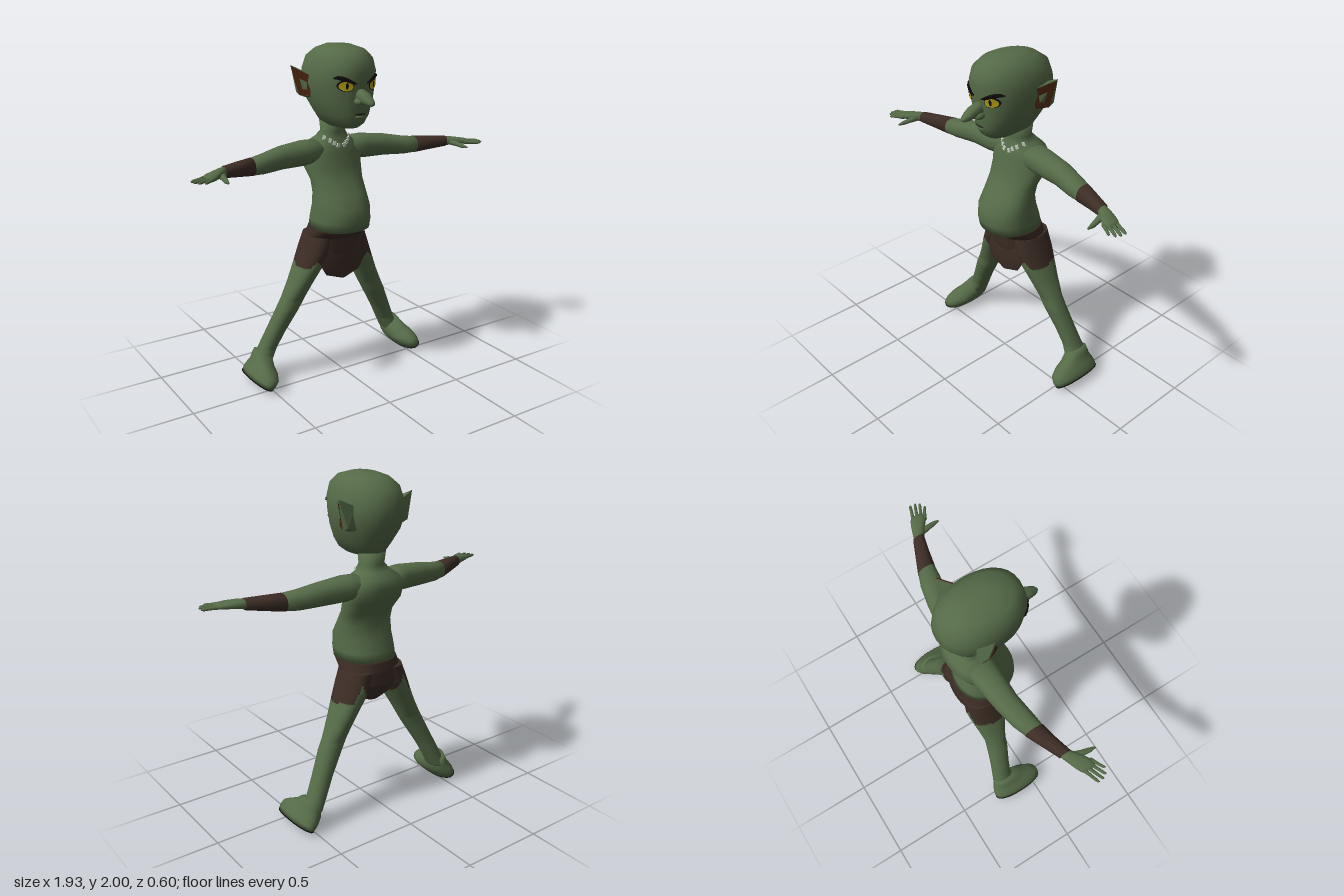
import * as THREE from 'three';
import { mergeVertices } from 'three/addons/utils/BufferGeometryUtils.js';
import { ConvexGeometry } from 'three/addons/geometries/ConvexGeometry.js';

const POWER = 0.9; // slightly boxy ellipses for all cross-sections
const AXES = { x: [1, 0, 0], y: [0, 1, 0], z: [0, 0, 1] };
const vec = (a) => new THREE.Vector3(...a);
const bow = (t) => Math.sign(t) * Math.abs(t) ** POWER;

// Skin a list of rings [x, y, z, radiusU, radiusV] and close both ends
function loft(rings, u, v, n = 20) {
  const U = vec(AXES[u]), V = vec(AXES[v]), pos = [], idx = [];
  const along = vec(rings.at(-1).slice(0, 3)).sub(vec(rings[0].slice(0, 3)));
  const flip = U.clone().cross(V).dot(along) < 0;
  const tri = (a, b, c) => (flip ? idx.push(a, c, b) : idx.push(a, b, c));
  for (const r of rings) {
    for (let j = 0; j < n; j++) {
      const t = (j / n) * Math.PI * 2;
      const p = vec(r.slice(0, 3)).addScaledVector(U, r[3] * bow(Math.cos(t))).addScaledVector(V, r[4] * bow(Math.sin(t)));
      pos.push(p.x, p.y, p.z);
    }
  }
  for (let i = 0; i < rings.length - 1; i++) {
    for (let j = 0; j < n; j++) {
      const a = i * n + j, b = i * n + ((j + 1) % n);
      tri(a, b, b + n);
      tri(a, b + n, a + n);
    }
  }
  const last = (rings.length - 1) * n, c0 = rings.length * n;
  pos.push(...rings[0].slice(0, 3), ...rings.at(-1).slice(0, 3));
  for (let j = 0; j < n; j++) {
    tri(c0, (j + 1) % n, j);
    tri(c0 + 1, last + j, last + ((j + 1) % n));
  }
  const g = new THREE.BufferGeometry();
  g.setAttribute('position', new THREE.Float32BufferAttribute(pos, 3));
  g.setIndex(idx);
  g.computeVertexNormals();
  return g;
}

// Upright rings from [y, front z, back z, half width, centre x]
const upright = (rows) => rows.map(([y, f, b, w, x = 0]) => [x, y, (f + b) / 2, w, (f - b) / 2]);
const mix = (a, b, t) => a.map((q, k) => q + (b[k] - q) * t);
const refine = (rings, k) => rings.flatMap((r, i) =>
  i === rings.length - 1 ? [r] : Array.from({ length: k }, (_, j) => mix(r, rings[i + 1], j / k)));

// Front surface z of upright rings at (x, y)
function surfaceZ(rings, x, y) {
  const i = rings.findIndex((r, k) => k < rings.length - 1 && (r[1] - y) * (rings[k + 1][1] - y) <= 0);
  const a = rings[i], b = rings[i + 1], r = mix(a, b, (y - a[1]) / (b[1] - a[1]));
  const c = Math.min(1, Math.abs(x) / r[3]) ** (1 / POWER);
  return r[2] + r[4] * Math.sqrt(1 - c * c) ** POWER;
}

// Sort triangles into two material groups by the position of their centre
function split(g, isFirst) {
  const p = g.attributes.position, ix = g.index.array, out = [[], []];
  for (let i = 0; i < ix.length; i += 3) {
    const t = [ix[i], ix[i + 1], ix[i + 2]];
    const mid = (get) => t.reduce((s, k) => s + p[get](k), 0) / 3;
    out[isFirst(mid('getX'), mid('getY'), mid('getZ')) ? 0 : 1].push(...t);
  }
  g.setIndex([...out[0], ...out[1]]);
  g.addGroup(0, out[0].length, 0);
  g.addGroup(out[0].length, out[1].length, 1);
  return g;
}

function mirrored(g) {
  const m = g.clone().scale(-1, 1, 1), ix = m.index.array;
  for (let i = 0; i < ix.length; i += 3) [ix[i + 1], ix[i + 2]] = [ix[i + 2], ix[i + 1]];
  return m;
}

export function createModel() {
  const model = new THREE.Group();
  model.name = 'goblin';
  const material = (name, color) => Object.assign(new THREE.MeshStandardMaterial({ color }), { name });
  const skin = material('green skin', 0x556a47);
  const leather = material('brown leather', 0x3c2d25);
  const innerEar = material('inner ear', 0x4c2411);
  const yellow = material('eye yellow', 0xb5a012);
  const black = material('black', 0x0d0b0a);
  const bone = material('bone white', 0xc6d0c2);
  const lip = material('dark lips', 0x33332b);
  leather.side = innerEar.side = THREE.DoubleSide;

  const add = (name, g, m) => {
    const mesh = new THREE.Mesh(g, m);
    mesh.name = name;
    model.add(mesh);
  };
  const pair = (name, g, m) => {
    const whole = g.index ? g : mergeVertices(g);
    add('left' + name, whole, m);
    add('right' + name, mirrored(whole), m);
  };

  // Head
  const head = upright([
    [1.998, 0.05, -0.13, 0.06], [1.975, 0.135, -0.2, 0.12], [1.93, 0.185, -0.265, 0.163],
    [1.86, 0.2, -0.29, 0.183], [1.79, 0.19, -0.3, 0.186], [1.7, 0.182, -0.268, 0.168],
    [1.62, 0.178, -0.22, 0.13], [1.57, 0.155, -0.185, 0.1], [1.545, 0.12, -0.12, 0.065]]);
  add('head', loft(head, 'x', 'z', 28), skin);
  const faceZ = (x, y) => surfaceZ(head, x, y);

  // Nose with nostrils
  add('nose', loft([[0, 1.735, 0.15, 0.03, 0.045], [0, 1.73, 0.2, 0.035, 0.04], [0, 1.724, 0.24, 0.034, 0.033],
    [0, 1.713, 0.27, 0.028, 0.024], [0, 1.705, 0.292, 0.019, 0.016], [0, 1.702, 0.302, 0.007, 0.007]], 'x', 'y'), skin);
  pair('Nostril', new THREE.SphereGeometry(1, 12, 8).scale(0.02, 0.02, 0.032).translate(0.028, 1.705, 0.2), skin);

  // Eyes as thin discs wrapped on the face, and slanted brows
  const disc = (x, y, rx, ry, lift, tilt = 0) => {
    const g = new THREE.CircleGeometry(1, 20).scale(rx, ry, 1).rotateZ(tilt).translate(x, y, 0), p = g.attributes.position;
    for (let i = 0; i < p.count; i++) p.setZ(i, faceZ(p.getX(i), p.getY(i)) + lift);
    g.computeVertexNormals();
    return g;
  };
  pair('EyeRim', disc(0.088, 1.792, 0.041, 0.031, 0.005, 0.15), black);
  pair('Eye', disc(0.088, 1.79, 0.035, 0.026, 0.008, 0.15), yellow);
  pair('Pupil', disc(0.086, 1.792, 0.007, 0.018, 0.0105), black);
  pair('Brow', loft([[0.036, 1.803, 0.004], [0.055, 1.81, 0.01], [0.08, 1.822, 0.013], [0.105, 1.832, 0.013],
    [0.125, 1.836, 0.01], [0.14, 1.832, 0.003]].map(([x, y, r]) => [x, y, faceZ(x, y), r, 0.014]), 'y', 'z', 10), black);

  // Mouth
  add('mouth', disc(0, 1.632, 0.036, 0.008, 0.007), lip);
  add('lowerLip', new THREE.SphereGeometry(1, 14, 8).scale(0.032, 0.01, 0.014).translate(0, 1.616, 0.172), skin);

  // Pointed ears with coloured insides
  const earFront = [[0.168, 1.83, -0.055], [0.172, 1.715, -0.06], [0.205, 1.715, -0.135], [0.25, 1.885, -0.15]].map(vec);
  const earBack = [[0.15, 1.84, -0.17], [0.14, 1.69, -0.11], [0.205, 1.73, -0.17], [0.15, 1.71, -0.17]].map(vec);
  pair('Ear', new ConvexGeometry([...earFront, ...earBack]), skin);
  const middle = earFront.reduce((s, p) => s.add(p), vec([0, 0, 0])).divideScalar(4);
  const plate = new THREE.BufferGeometry().setFromPoints(
    earFront.map((p) => p.clone().lerp(middle, 0.04).add(vec([0.006, 0, 0.005]))));
  plate.setIndex([0, 1, 2, 0, 2, 3]);
  plate.computeVertexNormals();
  pair('InnerEar', plate, innerEar);

  // Neck, chest and pot belly
  const torso = upright([
    [1.57, -0.03, -0.19, 0.075], [1.5, -0.04, -0.175, 0.072], [1.465, -0.035, -0.205, 0.098],
    [1.43, -0.02, -0.24, 0.155], [1.38, -0.003, -0.26, 0.185], [1.3, 0.005, -0.235, 0.182],
    [1.22, 0.04, -0.175, 0.163], [1.15, 0.085, -0.16, 0.164], [1.07, 0.14, -0.18, 0.17],
    [0.99, 0.147, -0.208, 0.175], [0.935, 0.135, -0.22, 0.175]]);
  add('torso', loft(torso, 'x', 'z', 28), skin);

  // Bone necklace
  for (let i = 0; i < 4; i++) {
    const x = 0.02 + i * 0.021, y = 1.425 + i * 0.0145;
    const bead = new THREE.BoxGeometry(0.018, 0.024, 0.009).rotateZ(0.3).rotateY(i * 0.25);
    pair('NecklaceBone', bead.translate(x, y, surfaceZ(torso, x, y) + 0.005), bone);
  }

  // Ragged hem: leather above the cut, skin below it
  const isLeather = (x, y, z) => {
    const ax = Math.abs(x);
    if (z < -0.13) return y > 0.72 + 0.11 * Math.max(0, 1 - Math.abs(ax - 0.15) / 0.05);
    return y > 0.705 + (z > -0.06 ? 0.04 * Math.max(0, 1 - Math.abs(ax - 0.18) / 0.04) : 0);
  };
  const pelvis = upright([[0.94, 0.132, -0.221, 0.177], [0.88, 0.04, -0.233, 0.187], [0.8, 0.03, -0.235, 0.18],
    [0.73, 0.012, -0.2, 0.13], [0.68, -0.03, -0.15, 0.05]]);
  add('loincloth', split(loft(refine(pelvis, 8), 'x', 'z', 48), (x, y, z) => Math.abs(x) < 0.1 || isLeather(x, y, z)), [leather, skin]);

  // Hanging front flap
  const flap = loft([[0, 0.84, 0.02, 0.15, 0.004], [0, 0.75, 0.02, 0.17, 0.004], [0, 0.7, 0.018, 0.145, 0.004],
    [0, 0.65, 0.012, 0.115, 0.004], [0, 0.615, 0.006, 0.012, 0.004]], 'x', 'z', 24);
  const fp = flap.attributes.position;
  for (let i = 0; i < fp.count; i++) fp.setZ(i, fp.getZ(i) - fp.getX(i) ** 2 * 0.9);
  flap.computeVertexNormals();
  add('frontFlap', flap, leather);

  // Legs
  const leg = upright([
    [0.89, 0.02, -0.225, 0.085, 0.1], [0.78, 0.015, -0.232, 0.087, 0.138], [0.7, 0, -0.222, 0.078, 0.178],
    [0.6, -0.03, -0.205, 0.072, 0.229], [0.5, -0.06, -0.19, 0.072, 0.28], [0.44, -0.065, -0.195, 0.07, 0.312],
    [0.3, -0.095, -0.213, 0.06, 0.386], [0.2, -0.11, -0.23, 0.056, 0.435], [0.12, -0.1, -0.245, 0.055, 0.475]]);
  pair('Leg', split(loft(refine(leg, 10), 'x', 'z', 40), isLeather), [leather, skin]);

  // Feet, square to the splayed legs, with dark soles
  const place = (g) => g.rotateZ(0.49).translate(0.545, 0.031, 0);
  pair('Foot', place(loft(upright([
    [0.004, 0.057, -0.268, 0.058], [0.03, 0.064, -0.272, 0.068, -0.003], [0.065, 0.055, -0.265, 0.07, -0.01],
    [0.095, 0.01, -0.255, 0.066, -0.014], [0.12, -0.045, -0.25, 0.06, -0.008], [0.16, -0.095, -0.24, 0.052, -0.002]]), 'x', 'z', 24)), skin);
  pair('Sole', place(loft(upright([[0, 0.058, -0.27, 0.06], [0.006, 0.06, -0.272, 0.062]]), 'x', 'z', 24)), black);

  // Arms and bracers
  pair('Arm', loft([[0.09, 1.39, -0.12, 0.062, 0.09], [0.2, 1.385, -0.113, 0.073, 0.08], [0.35, 1.377, -0.103, 0.066, 0.068],
    [0.48, 1.362, -0.078, 0.056, 0.064], [0.57, 1.36, -0.056, 0.047, 0.052]], 'y', 'z'), skin);
  pair('Bracer', loft([[0.555, 1.36, -0.06, 0.05, 0.056], [0.65, 1.365, -0.03, 0.042, 0.045],
    [0.752, 1.37, 0.005, 0.032, 0.036]], 'y', 'z'), leather);

  // Hands with four fingers and a thumb
  pair('Hand', loft([[0.735, 1.37, 0, 0.028, 0.031], [0.785, 1.372, 0.026, 0.026, 0.04], [0.83, 1.37, 0.05, 0.021, 0.048],
    [0.87, 1.368, 0.064, 0.016, 0.044], [0.885, 1.367, 0.068, 0.01, 0.036]], 'y', 'z', 16), skin);
  [[0.034, 0.965, 0.072], [0.056, 0.963, 0.102], [0.078, 0.948, 0.126], [0.096, 0.918, 0.142]].forEach(([z, tipX, tipZ], i) => {
    const a = [0.855 - i * 0.006, 1.367, z, 0.013, 0.014], b = [tipX, 1.361, tipZ, 0.005, 0.006];
    pair('Finger', loft([a, mix(a, b, 0.5), [...mix(a, b, 0.88).slice(0, 3), 0.009, 0.009], b], 'y', 'z', 8), skin);
  });
  pair('Thumb', loft([[0.782, 1.365, 0.045, 0.024, 0.018], [0.79, 1.358, 0.09, 0.017, 0.014],
    [0.797, 1.352, 0.13, 0.014, 0.012], [0.8, 1.35, 0.165, 0.005, 0.005]], 'x', 'y', 10), skin);

  return model;
}
